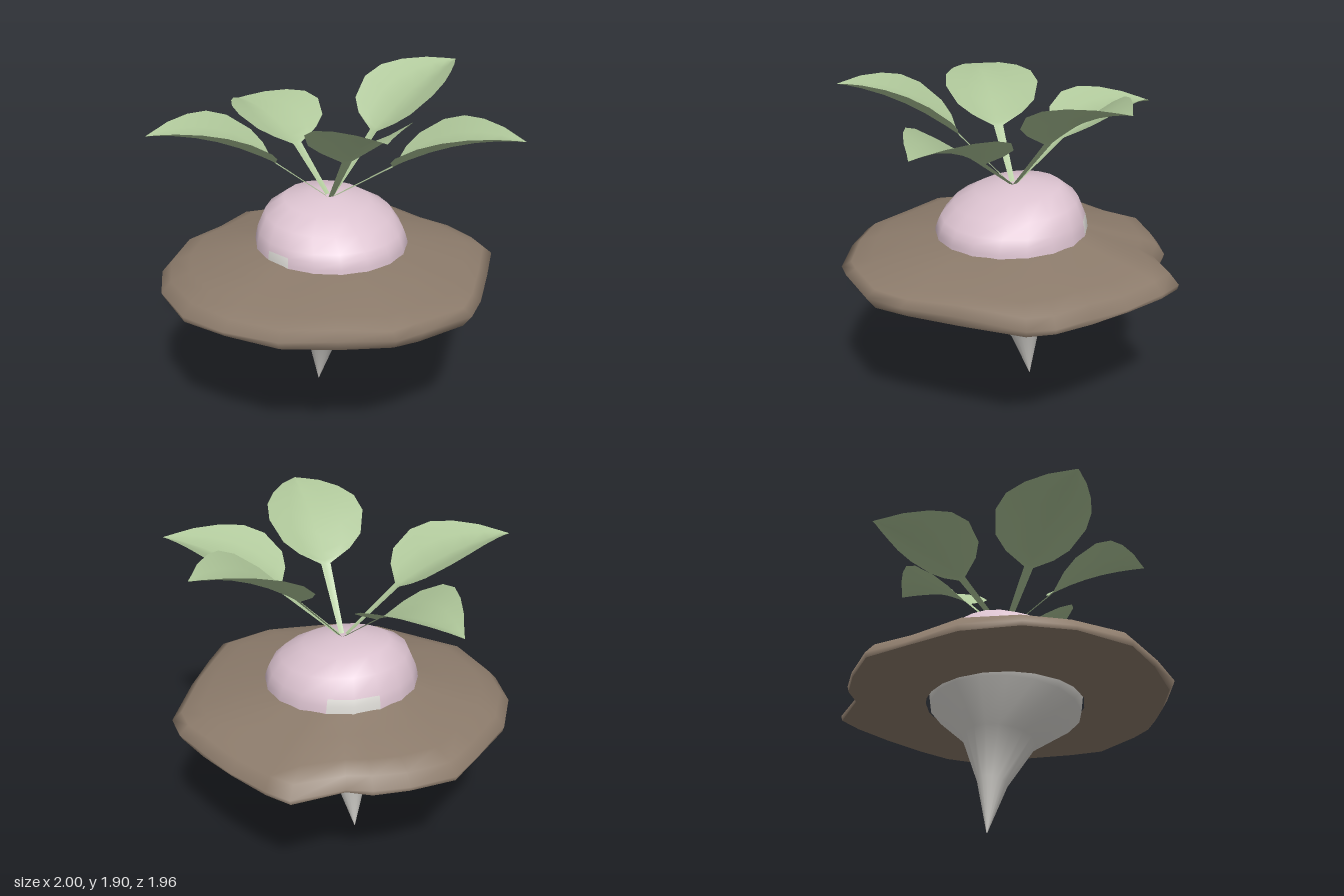
import * as THREE from 'three';

const mat = (name, color, side = THREE.FrontSide) => {
  const m = new THREE.MeshStandardMaterial({ color, side });
  m.name = name;
  return m;
};

// Skins closed rings of equal length, listed from bottom to top;
// pick(j, k) returns the material index of each quad
function loft(rings, pick = () => 0) {
  const n = rings[0].length, buckets = [[], []];
  for (let j = 0; j < rings.length - 1; j++) {
    for (let k = 0; k < n; k++) {
      const a = j * n + k, b = j * n + (k + 1) % n;
      buckets[pick(j, k)].push(a, a + n, b, b, a + n, b + n);
    }
  }
  const g = new THREE.BufferGeometry();
  g.setAttribute('position', new THREE.Float32BufferAttribute(rings.flat(2), 3));
  g.setIndex(buckets.flat());
  g.addGroup(0, buckets[0].length, 0);
  g.addGroup(buckets[0].length, buckets[1].length, 1);
  g.computeVertexNormals();
  return g;
}

// Root bulb: y, x radius, z centre, z radius, tilt (back higher than front)
function bulbGeometry() {
  const sides = 18;
  const profile = [
    [0, 0.002, -0.15, 0.002, 0],
    [0.29, 0.085, -0.115, 0.085, 0.02],
    [0.55, 0.205, -0.065, 0.215, 0.025],
    [0.74, 0.44, -0.02, 0.43, 0.04],
    [0.88, 0.455, -0.02, 0.45, 0.02],
    [1.0, 0.44, -0.02, 0.44, 0],
    [1.04, 0.432, -0.025, 0.43, 0],
    [1.08, 0.42, -0.03, 0.415, 0],
    [1.17, 0.372, -0.045, 0.355, 0.02],
    [1.24, 0.25, -0.06, 0.25, 0.02],
    [1.265, 0.1, -0.06, 0.1, 0.005],
    [1.267, 0.002, -0.06, 0.002, 0],
  ];
  const rings = profile.map(([y, rx, zc, rz, tilt]) =>
    Array.from({ length: sides }, (_, k) => {
      const a = (k / sides) * Math.PI * 2;
      return [Math.cos(a) * rx, y - Math.sin(a) * tilt, zc + Math.sin(a) * rz];
    }));
  // Pale below the soil, with two pale patches reaching above it
  return loft(rings, (j, k) => {
    if (j < 4) return 0;
    if (j < 7 && (k === 14 || k === 15)) return 0;
    if (j < 6 && k === 8) return 0;
    return 1;
  });
}

// Irregular outline of the soil mound as x, z
const OUTLINE = [
  [0.25, -0.9], [0.43, -0.81], [0.52, -0.7], [0.81, -0.61], [0.86, -0.46], [0.9, -0.2],
  [0.92, 0.05], [0.925, 0.27], [0.88, 0.42], [0.6, 0.66], [0.35, 0.86], [0.17, 0.975],
  [-0.15, 0.955], [-0.3, 0.92], [-0.55, 0.75], [-0.78, 0.55], [-0.92, 0.25], [-1, -0.02],
  [-0.94, -0.36], [-0.8, -0.6], [-0.55, -0.8], [-0.25, -0.9], [0, -0.98],
];

// Ring between the bulb (f = 0) and the outline (f = 1)
function soilRing(f, yOf, inner = 0.425) {
  return OUTLINE.map(([x, z], i) => {
    const r = Math.hypot(x, z), t = typeof f === 'function' ? f(z) : f;
    const s = (inner + (r - inner) * t) / r;
    return [x * s, yOf(z, i), z * s - 0.02 * (1 - t)];
  });
}

// Leaf with stem: base and tip as [x, y, z]
function leafGeometry(base, tip) {
  const B = new THREE.Vector3(...base), T = new THREE.Vector3(...tip);
  const out = new THREE.Vector3(T.x - B.x, 0, T.z - B.z).normalize();
  const side = new THREE.Vector3(-out.z, 0, out.x);
  const root = new THREE.Vector3(0, 1.255, -0.03).addScaledVector(out, 0.01);
  const rows = [[root, 0.014], [B, 0.028]];
  const widths = [[0.03, 0.15], [0.1, 0.23], [0.28, 0.28], [0.45, 0.262],
    [0.62, 0.2], [0.8, 0.115], [0.92, 0.045], [1, 0.002]];
  for (const [t, w] of widths) {
    const p = B.clone().lerp(T, t);
    p.y += 0.2 * t * (1 - t);
    rows.push([p, w]);
  }
  const pos = [], idx = [];
  rows.forEach(([p, w], r) => {
    for (let c = -2; c <= 2; c++) {
      const u = c / 2, q = p.clone().addScaledVector(side, u * w);
      q.y += (r < 2 ? 0.1 : 0.38) * w * Math.abs(u) ** 1.3;
      pos.push(q.x, q.y, q.z);
      if (r && c < 2) {
        const a = (r - 1) * 5 + c + 2, b = a + 5;
        idx.push(a, a + 1, b, a + 1, b + 1, b);
      }
    }
  });
  // Wind so the fronts face up
  for (let i = 0; i < idx.length; i += 3) [idx[i + 1], idx[i + 2]] = [idx[i + 2], idx[i + 1]];
  const g = new THREE.BufferGeometry();
  g.setAttribute('position', new THREE.Float32BufferAttribute(pos, 3));
  g.setIndex(idx);
  g.computeVertexNormals();
  return g;
}

export function createModel() {
  const pale = mat('paleRoot', 0xdcdad5);
  const pink = mat('pinkSkin', 0xdcc3d0);
  const brown = mat('brownSoil', 0x8c7b6b);
  const green = mat('leafGreen', 0xaec699, THREE.DoubleSide);

  const model = new THREE.Group();
  model.name = 'rootVegetable';
  const add = (name, geometry, material) => {
    const m = new THREE.Mesh(geometry, material);
    m.name = name;
    model.add(m);
  };

  add('bulb', bulbGeometry(), [pale, pink]);

  // Soil: domed top, then a flat underside with a hole for the bulb
  const wobble = (i, amount) => amount * Math.sin(i * 2.3);
  const rimIn = (z) => 0.985 - 0.08 * Math.max(0, z);
  const rim = soilRing(rimIn, () => 0.78);
  add('soilTop', loft([
    rim,
    soilRing(1, (z, i) => 0.805 + 0.05 * Math.max(0, z) + wobble(i, 0.008)),
    soilRing(0.9, (z, i) => 0.868 + 0.015 * Math.max(0, z) + wobble(i, 0.01)),
    soilRing(0.7, (z, i) => 0.908 + wobble(i, 0.008)),
    soilRing(0.35, (z, i) => 0.95 + wobble(i, 0.005)),
    soilRing(0, (z) => 0.993 - 0.015 * z),
  ]), brown);
  add('soilUnderside', loft([soilRing(0, () => 0.78, 0.455), rim]), brown);

  // Leaves: base, tip
  const leaves = {
    backLeaf: [[0.005, 1.49, -0.35], [0.01, 1.62, -0.98]],
    leftLeaf: [[0.33, 1.58, -0.05], [1.0, 1.89, -0.09]],
    rightLeaf: [[-0.32, 1.51, -0.12], [-0.97, 1.73, -0.345]],
    frontRightLeaf: [[-0.11, 1.57, 0.26], [-0.345, 1.88, 0.86]],
    frontLeftLeaf: [[0.2, 1.49, 0.29], [0.58, 1.71, 0.89]],
  };
  for (const [name, [base, tip]] of Object.entries(leaves)) {
    add(name, leafGeometry(base, tip), green);
  }
  return model;
}
